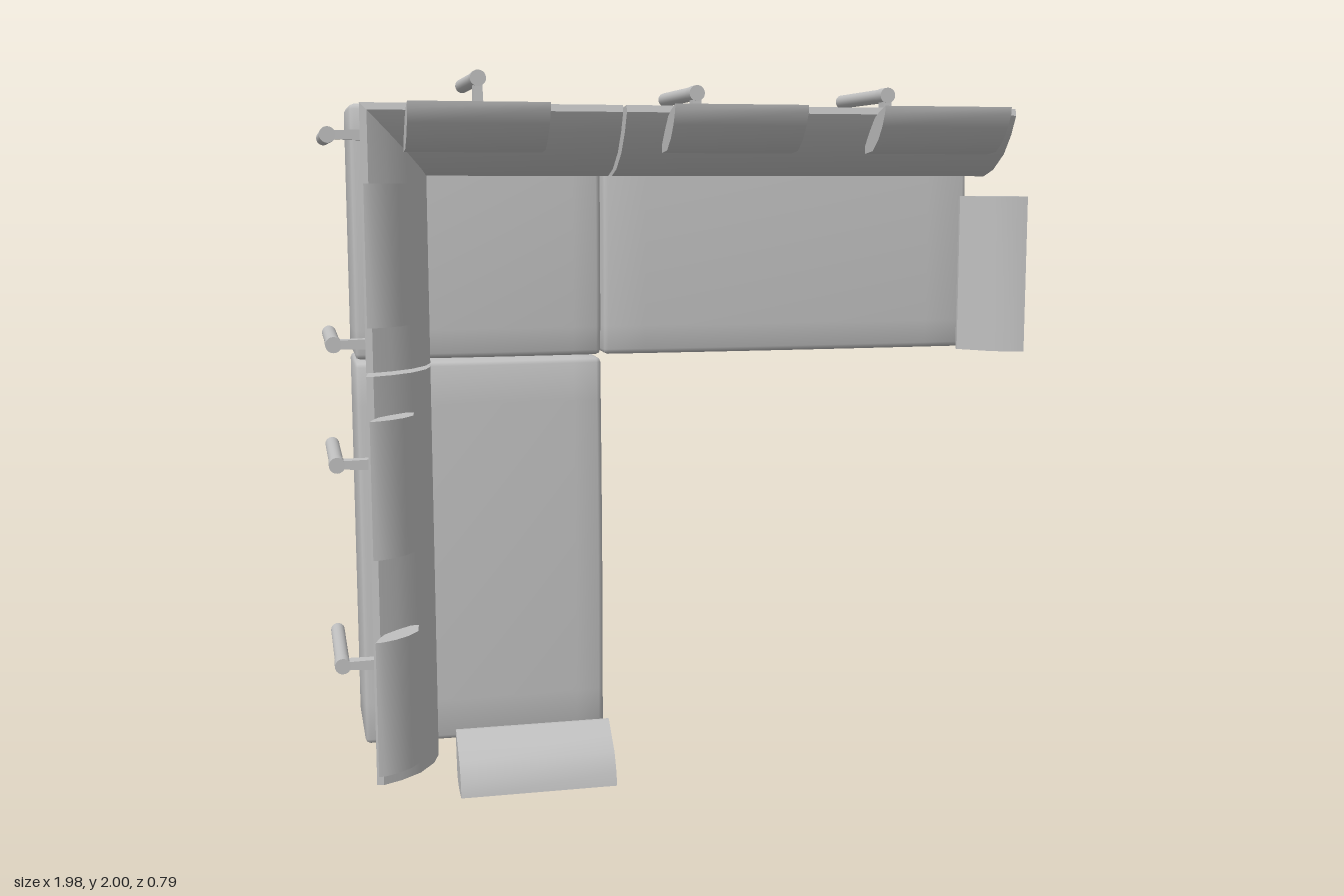
import * as THREE from 'three';
import { toCreasedNormals } from 'three/addons/utils/BufferGeometryUtils.js';

const fabric = new THREE.MeshStandardMaterial({ color: 0xc0c0c0 });
fabric.name = 'grey';

// Profiles as [across, z]
const BACKREST = [[0.012, 0.28], [0.03, 0.285], [0.08, 0.257], [0.133, 0.21], [0.175, 0.14],
  [0.193, 0.075], [0.19, 0.03], [0.175, 0.02], [0.05, 0.02], [0.038, 0.1], [0.018, 0.22]];
const HEADREST = [[0.012, 0.395], [0.03, 0.393], [0.065, 0.374], [0.1, 0.343], [0.128, 0.3],
  [0.134, 0.24], [0.115, 0.238], [0.08, 0.27], [0.04, 0.315], [0.025, 0.35]];
const ARMREST = [[0, 0.018], [0.03, 0.052], [0.07, 0.1], [0.12, 0.128], [0.158, 0.136],
  [0.16, 0.125], [0.152, 0.075], [0.14, 0.045], [0.12, 0.03], [0.06, 0.015], [0, 0.008]];

const LEFT_WALL = -0.91, TOP_WALL = 1.91;

function createMesh(name, geometry) {
  const mesh = new THREE.Mesh(geometry, fabric);
  mesh.name = name;
  return mesh;
}

// Extrudes a profile, then places each point with place(across, t), t in 0..1
function sweep(name, profile, place) {
  const shape = new THREE.Shape(profile.map(([a, z]) => new THREE.Vector2(a, z)));
  const geo = new THREE.ExtrudeGeometry(shape, { depth: 1, bevelEnabled: false });
  const pos = geo.attributes.position;
  for (let i = 0; i < pos.count; i++) {
    const z = pos.getY(i);
    const [x, y] = place(pos.getX(i), 1 - pos.getZ(i));
    pos.setXYZ(i, x, y, z);
  }
  return createMesh(name, toCreasedNormals(geo, 0.6));
}

const lerp = THREE.MathUtils.lerp;
const alongLeft = (y0, y1) => (d, t) => [LEFT_WALL + d, lerp(y0, y1, t)];
const alongTop = (x0, x1) => (d, t) => [lerp(x0, x1, t), TOP_WALL - d];

// Upholstered block with rounded edges and a gently domed seat face
function seat(name, x0, x1, y0, y1) {
  const n = 12, r = 0.014, z0 = -0.395, z1 = -0.045;
  const half = new THREE.Vector3((x1 - x0) / 2, (y1 - y0) / 2, (z1 - z0) / 2);
  const geo = new THREE.BoxGeometry(2, 2, 2, n, n, 4);
  const pos = geo.attributes.position;
  const p = new THREE.Vector3(), inner = new THREE.Vector3();
  // Keep the outermost segments inside the edge radius
  const spread = (u, h, count) => {
    const edge = 1 - 2 / count;
    return Math.abs(u) > edge + 1e-4 ? Math.sign(u) * h : (u / edge) * (h - r);
  };
  for (let i = 0; i < pos.count; i++) {
    p.set(spread(pos.getX(i), half.x, n), spread(pos.getY(i), half.y, n), spread(pos.getZ(i), half.z, 4));
    inner.set(
      THREE.MathUtils.clamp(p.x, r - half.x, half.x - r),
      THREE.MathUtils.clamp(p.y, r - half.y, half.y - r),
      THREE.MathUtils.clamp(p.z, r - half.z, half.z - r));
    p.sub(inner);
    if (p.lengthSq() > 1e-10) p.setLength(r);
    p.add(inner);
    if (p.z > half.z / 2) p.z -= 0.01 * ((p.x / half.x) ** 2 + (p.y / half.y) ** 2);
    pos.setXYZ(i, p.x, p.y, p.z);
  }
  geo.translate((x0 + x1) / 2, (y0 + y1) / 2, (z0 + z1) / 2);
  return createMesh(name, toCreasedNormals(geo, 0.9));
}

// Round post with a head and a tapered lever reaching under the cushion
function bracket(x, y, angle) {
  const group = new THREE.Group();
  group.name = 'bracket';
  const post = createMesh('post', new THREE.CylinderGeometry(0.02, 0.02, 0.36, 20).rotateX(Math.PI / 2));
  post.position.z = -0.215;
  const head = createMesh('postHead', new THREE.CylinderGeometry(0.022, 0.022, 0.05, 20).rotateX(Math.PI / 2));
  head.position.z = -0.013;
  const geo = new THREE.BoxGeometry(0.18, 0.022, 0.04);
  const pos = geo.attributes.position;
  for (let i = 0; i < pos.count; i++) {
    const far = pos.getX(i) > 0, upper = pos.getZ(i) > 0;
    pos.setZ(i, upper ? (far ? 0.018 : 0.01) : (far ? -0.006 : -0.036));
    if (far) pos.setY(i, pos.getY(i) * 1.6);
  }
  geo.translate(0.09, 0, 0);
  geo.computeVertexNormals();
  group.add(post, head, createMesh('lever', geo));
  group.position.set(x, y, 0);
  group.rotation.z = angle;
  return group;
}

export function createModel() {
  const sofa = new THREE.Group();
  sofa.name = 'cornerSofa';

  // Seats
  sofa.add(
    seat('longSeat', -0.91, -0.222, 0.115, 1.207),
    seat('cornerSeat', -0.91, -0.222, 1.215, TOP_WALL),
    seat('sideSeat', -0.215, 0.875, 1.215, TOP_WALL));

  // Backrests, mitred where the two corner pieces meet
  sofa.add(
    sweep('longBackrest', BACKREST, alongLeft(0.118, 1.207)),
    sweep('sideBackrest', BACKREST, alongTop(-0.215, 0.872)),
    sweep('cornerBackrest', BACKREST, (d, t) => [LEFT_WALL + d, lerp(1.217, TOP_WALL - d, t)]),
    sweep('cornerBackrest', BACKREST, (d, t) => [lerp(LEFT_WALL + d, -0.225, t), TOP_WALL - d]));

  // Headrests
  for (const y of [0.18, 0.75, 1.34]) sofa.add(sweep('headrest', HEADREST, alongLeft(y, y + 0.356)));
  for (const x of [-0.787, -0.112, 0.453]) sofa.add(sweep('headrest', HEADREST, alongTop(x, x + 0.356)));

  // Armrests
  sofa.add(
    sweep('armrest', ARMREST, (o, t) => [0.825 + o, lerp(1.215, 1.66, t)]),
    sweep('armrest', ARMREST, (o, t) => [lerp(-0.662, -0.222, t), 0.165 - o]));

  // Brackets around the outside
  const down = -Math.PI / 2;
  for (const y of [0.37, 0.935, 1.265, 1.825]) sofa.add(bracket(-0.97, y, 0));
  for (const [x, y] of [[-0.568, 1.978], [0.04, 1.945], [0.6, 1.945]]) sofa.add(bracket(x, y, down));
  sofa.add(bracket(0.912, 1.557, down), bracket(-0.575, 0.063, 0));

  return sofa;
}
